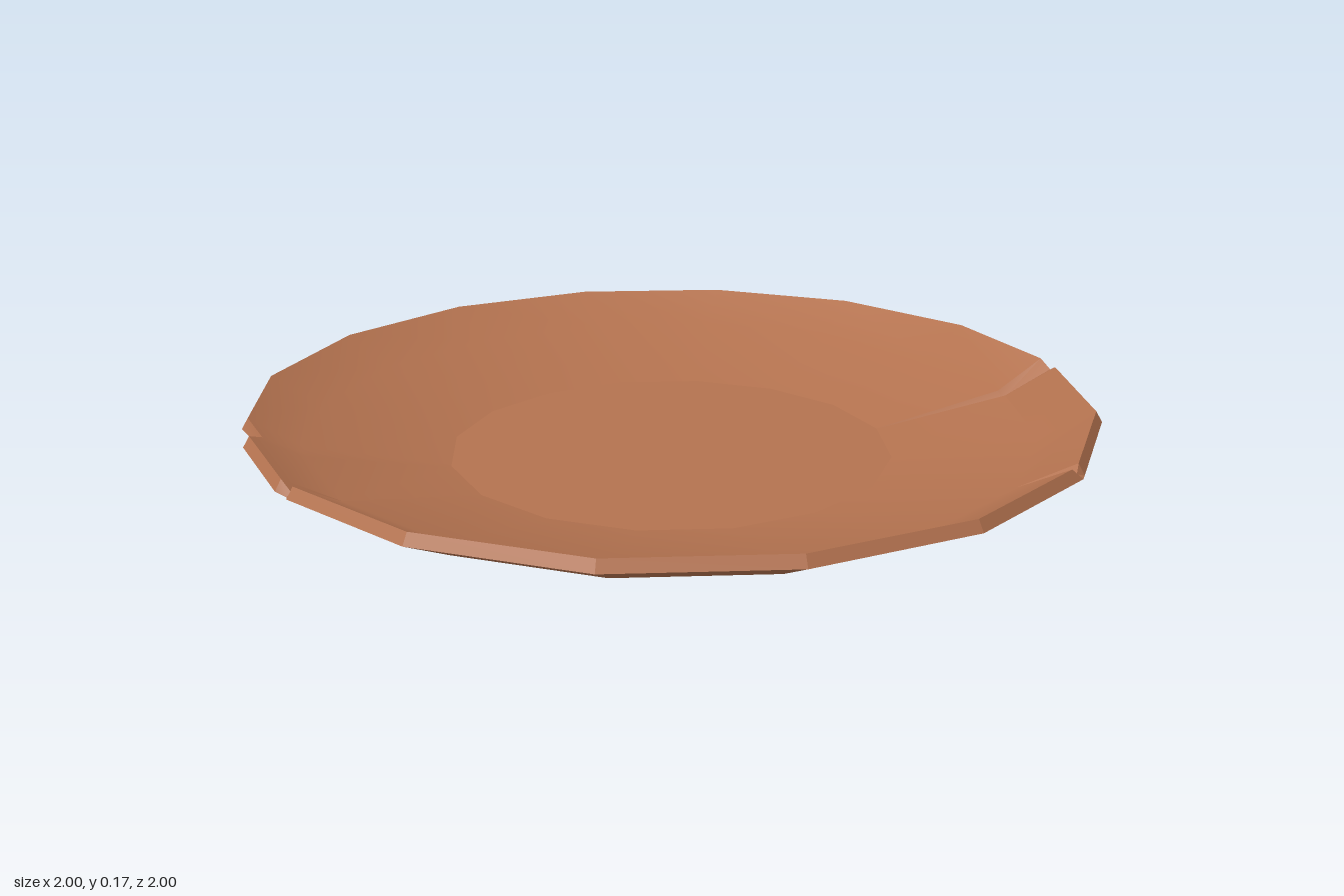
import * as THREE from 'three';
import { toCreasedNormals } from 'three/addons/utils/BufferGeometryUtils.js';

const SIDES = 16, STEP = (Math.PI * 2) / SIDES;

// Profile [radius, height] from the base centre, around the rim, to the floor centre
const PROFILE = [[0, 0], [0.53, 0], [0.86, 0.08], [1, 0.15], [0.985, 0.175], [0.86, 0.105], [0.525, 0.04], [0, 0.04]];

// Damage at a corner: half-angles at rim, inner wall and floor, and moved centre points by profile index
const DAMAGE = {
  14: { w: [0.04, 0.024, 0.003], move: { 4: [0.985, 0.157], 5: [0.86, 0.088] } }, // long crack
  0: { w: [0.022, 0.003, 0.003], move: { 4: [0.985, 0.158] } },                   // short crack
  6: { w: [0.065, 0.04, 0.02], move: { 3: [0.952, 0.125], 4: [0.944, 0.148] } },  // chipped corner
  5: { w: [0.028, 0.003, 0.003], move: { 3: [0.982, 0.143], 4: [0.972, 0.153] } } // small nick
};

// Point at angle offset d from corner k, lying on the straight side of the polygon
function ringPoint(k, d, [r, y]) {
  const s = r * Math.cos(STEP / 2) / Math.cos(STEP / 2 - Math.abs(d)), t = k * STEP + d;
  return [s * Math.cos(t), y, s * Math.sin(t)];
}

// Columns of points: one per corner, three where the corner is damaged
function makeColumns() {
  const columns = [];
  for (let k = 0; k < SIDES; k++) {
    const hit = DAMAGE[k];
    for (const side of hit ? [-1, 0, 1] : [0]) {
      columns.push(PROFILE.map((p, i) => {
        const w = hit ? hit.w[Math.min(2, Math.max(0, i - 4))] : 0;
        const moved = hit && side === 0 && hit.move[i];
        return ringPoint(k, side * w, moved || p);
      }));
    }
  }
  return columns;
}

// Surface between two profile indices
function band(columns, from, to, crease) {
  const pos = [];
  for (let j = 0; j < columns.length; j++) {
    const A = columns[j], B = columns[(j + 1) % columns.length];
    for (let i = from; i < to; i++) {
      if (i < PROFILE.length - 2) pos.push(...A[i], ...A[i + 1], ...B[i + 1]);
      if (i > 0) pos.push(...A[i], ...B[i + 1], ...B[i]);
    }
  }
  const geo = new THREE.BufferGeometry();
  geo.setAttribute('position', new THREE.Float32BufferAttribute(pos, 3));
  return toCreasedNormals(geo, crease);
}

export function createModel() {
  const group = new THREE.Group();
  group.name = 'crackedPlate';
  const clay = new THREE.MeshStandardMaterial({ color: 0xb3724f });
  const columns = makeColumns();
  const parts = [
    ['underside', 0, 3, 0.6],
    ['rimEdge', 3, 4, 0.3],
    ['innerWall', 4, 6, 0.4],
    ['floor', 6, 7, 0.3]
  ];
  for (const [name, from, to, crease] of parts) {
    const mesh = new THREE.Mesh(band(columns, from, to, crease), clay);
    mesh.name = name;
    group.add(mesh);
  }
  return group;
}
